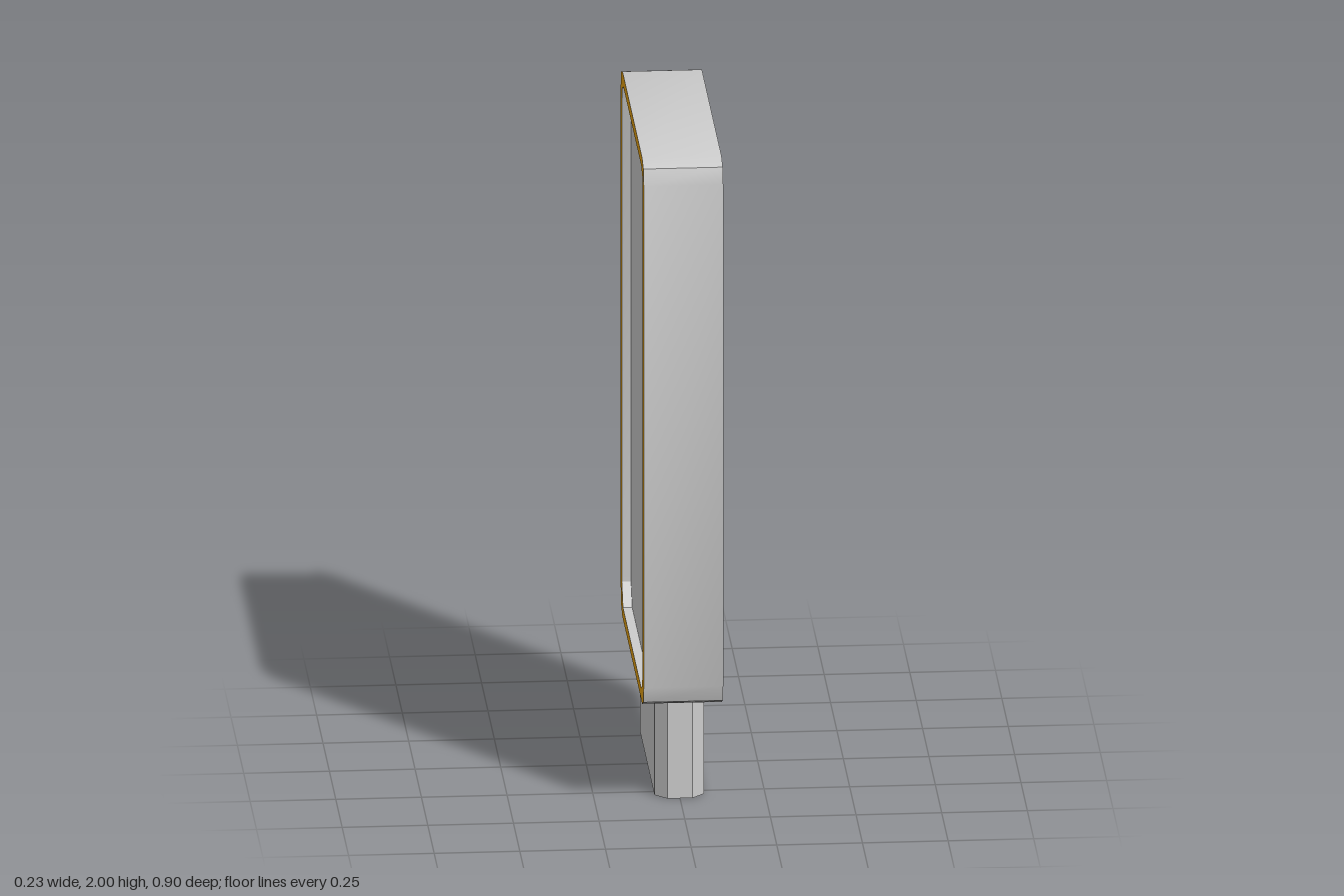
import * as THREE from 'three';
import { toCreasedNormals } from 'three/addons/utils/BufferGeometryUtils.js';

const grey = new THREE.MeshStandardMaterial({ color: 0xcccccc });
const orange = new THREE.MeshStandardMaterial({ color: 0xe8a211 });

// Mirror the right half of an outline (bottom to top) into a closed loop
function mirrored(half) {
  const left = half.map(([x, y]) => [-x, y]).reverse();
  return [...half, ...left].map(([x, y]) => new THREE.Vector2(x, y));
}

// Extrude a shape, centre it on its depth, keep sharp corners crisp
function slab(shape, depth) {
  const geo = new THREE.ExtrudeGeometry(shape, { depth, bevelEnabled: false });
  geo.translate(0, 0, -depth / 2);
  return geo;
}

function addPart(group, name, geometry, material) {
  const mesh = new THREE.Mesh(toCreasedNormals(geometry, Math.PI / 6), material);
  mesh.name = name;
  group.add(mesh);
}

export function createModel() {
  const group = new THREE.Group();
  group.name = 'signStand';

  const outer = mirrored([
    [0.39, 0.32], [0.435, 0.34], [0.452, 0.39],
    [0.452, 1.935], [0.435, 1.983], [0.385, 2.0],
  ]);
  const inner = mirrored([
    [0.365, 0.355], [0.41, 0.42],
    [0.41, 1.905], [0.395, 1.945], [0.35, 1.965],
  ]);

  // Casing: grey walls with coloured rims on both faces
  const casing = new THREE.Shape(outer);
  casing.holes.push(new THREE.Path(inner));
  addPart(group, 'casing', slab(casing, 0.232).rotateY(Math.PI / 2), [orange, grey]);

  // Display panel, recessed behind the rim on both faces
  addPart(group, 'panel', slab(new THREE.Shape(inner), 0.178).rotateY(Math.PI / 2), grey);

  // Foot: upright block with chamfered vertical edges
  const foot = new THREE.Shape(mirrored([
    [0.037, -0.315], [0.072, -0.28], [0.072, 0.28], [0.037, 0.315],
  ]));
  addPart(group, 'foot', slab(foot, 0.32).rotateX(-Math.PI / 2).translate(0, 0.16, 0), grey);

  return group;
}
